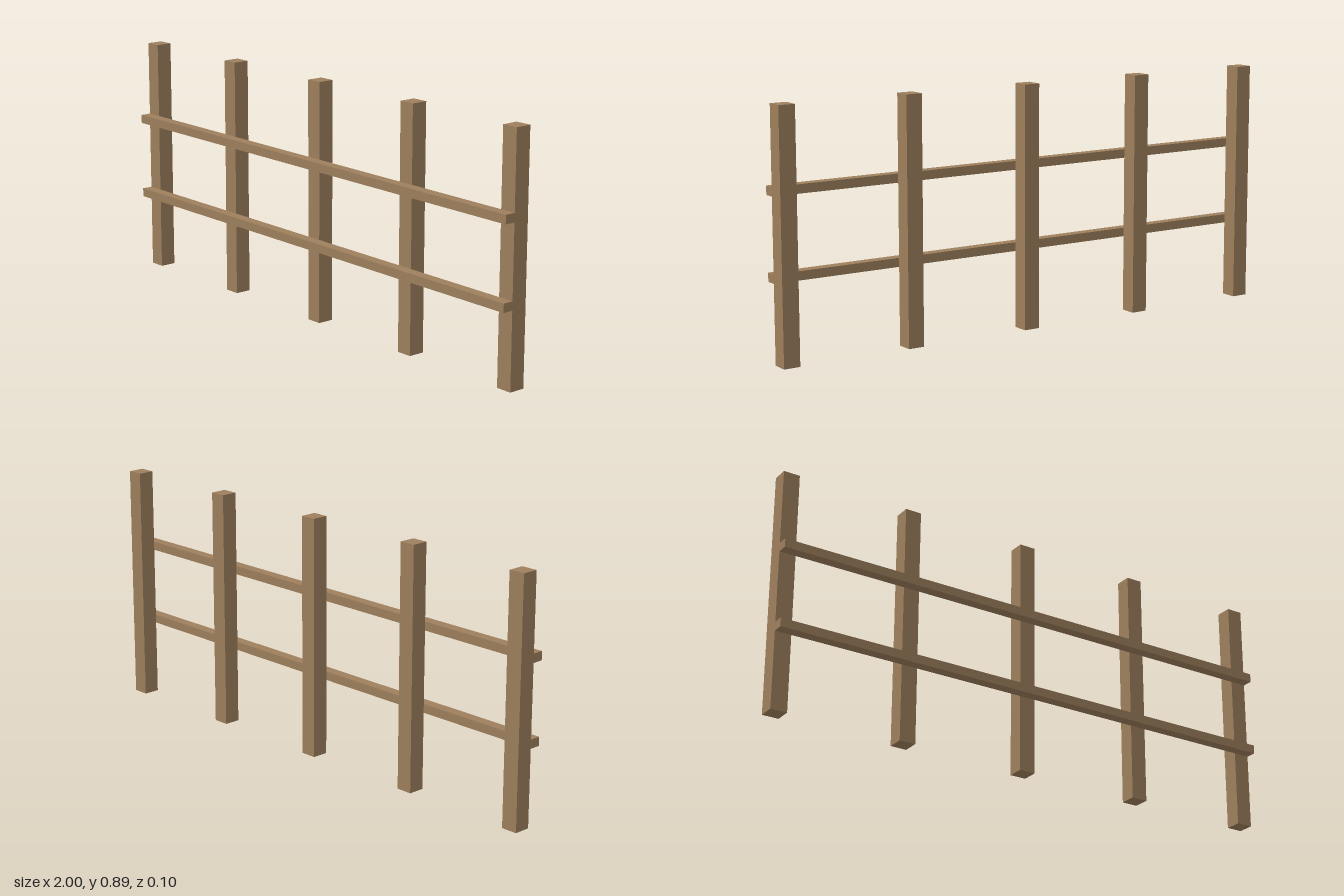
import * as THREE from 'three';

export function createModel() {
  const fence = new THREE.Group();
  fence.name = 'fence';
  const wood = new THREE.MeshStandardMaterial({ color: 0x9e7f5c });
  wood.name = 'brown wood';

  const addBeam = (name, size, position) => {
    const beam = new THREE.Mesh(new THREE.BoxGeometry(...size), wood);
    beam.name = name;
    beam.position.set(...position);
    fence.add(beam);
  };

  // Five evenly spaced square posts
  const postWidth = 0.061, postHeight = 0.889;
  const spacing = (2 - postWidth) / 4;
  for (let i = -2; i <= 2; i++) {
    addBeam(`post${i + 3}`, [postWidth, postHeight, postWidth], [i * spacing, postHeight / 2, -0.02]);
  }

  // Two full-length rails fixed to the front of the posts
  addBeam('lowerRail', [2, 0.032, 0.04], [0, 0.297, 0.0305]);
  addBeam('upperRail', [2, 0.032, 0.04], [0, 0.593, 0.0305]);

  return fence;
}
